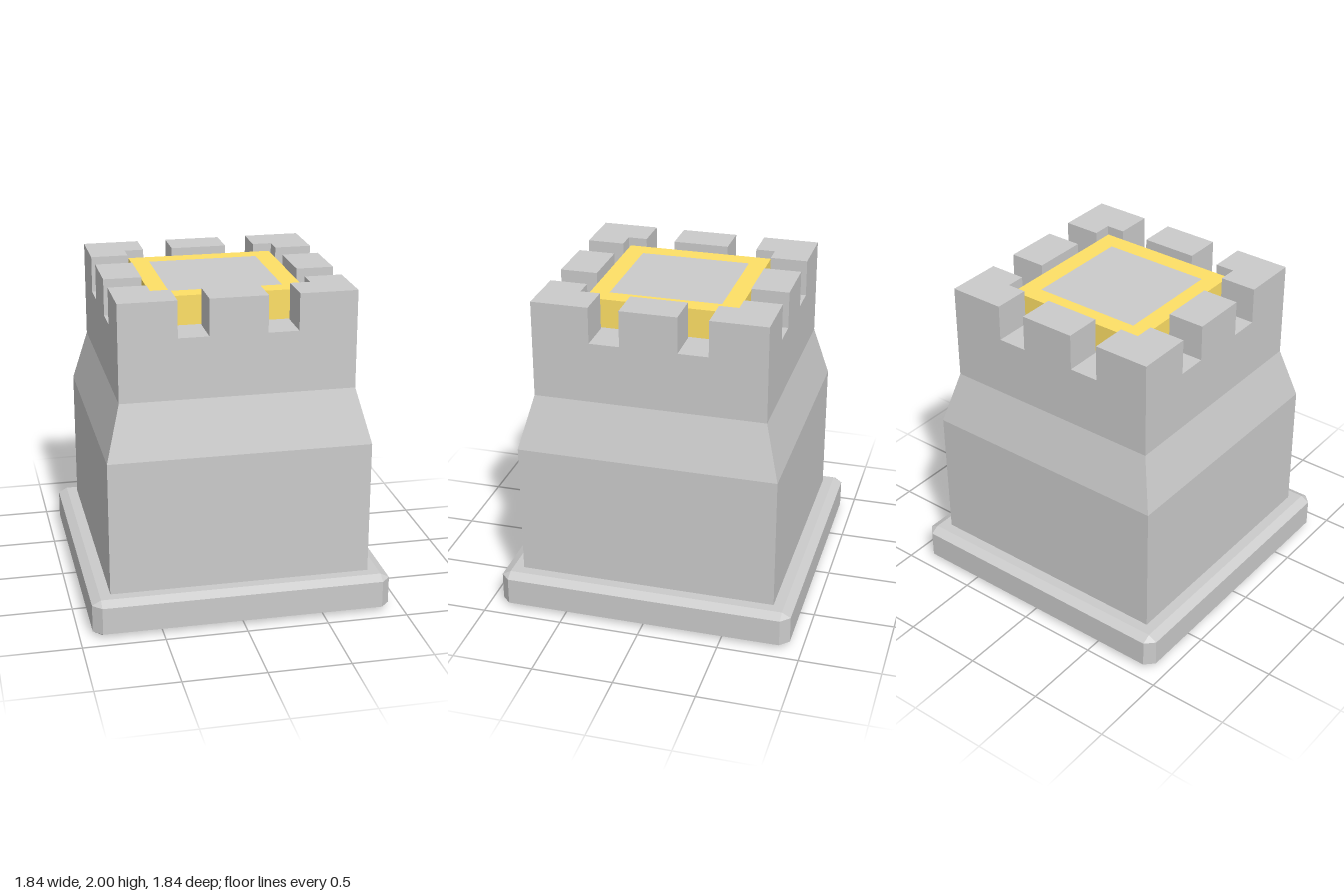
import * as THREE from 'three';
import { ConvexGeometry } from 'three/addons/geometries/ConvexGeometry.js';

const FLOOR = 1.775; // level of the battlement floor
const TOP = 2;
const ROOF = 1.955;

const paint = (color) => new THREE.MeshStandardMaterial({ color, flatShading: true });

function add(parent, name, geometry, material) {
  const mesh = new THREE.Mesh(geometry, material);
  mesh.name = name;
  parent.add(mesh);
  return mesh;
}

// Upright prism from a plan outline, standing between two heights
function prism(shape, y0, y1) {
  const g = new THREE.ExtrudeGeometry(shape, { depth: y1 - y0, bevelEnabled: false });
  return g.rotateX(-Math.PI / 2).translate(0, y0, 0);
}

const outline = (pts) => new THREE.Shape(pts.map(([x, y]) => new THREE.Vector2(x, y)));
const square = (h) => outline([[-h, -h], [h, -h], [h, h], [-h, h]]);

// Box with every edge cut once
function chamferedSlab(half, cut, height, cutY) {
  const inner = half - cut, pts = [];
  for (const sx of [-1, 1]) for (const sz of [-1, 1]) for (const top of [0, 1]) {
    const yEnd = top ? height : 0;
    const ySide = top ? height - cutY : cutY;
    pts.push(
      new THREE.Vector3(sx * inner, yEnd, sz * inner),
      new THREE.Vector3(sx * half, ySide, sz * inner),
      new THREE.Vector3(sx * inner, ySide, sz * half));
  }
  return new ConvexGeometry(pts);
}

export function createModel() {
  const tower = new THREE.Group();
  tower.name = 'tower';
  const stone = paint(0xcccccc);
  const gold = paint(0xffe066);
  const pale = paint(0xe3e3e3);

  // Plinth
  add(tower, 'base', chamferedSlab(0.92, 0.055, 0.23, 0.03), stone);

  // Square body with a tapered shoulder, closed by the battlement floor
  const profile = [[0.8, 0.2], [0.8, 1.065], [0.71, 1.4], [0.71, FLOOR], [0, FLOOR]]
    .map(([h, y]) => new THREE.Vector2(h * Math.SQRT2, y));
  add(tower, 'body', new THREE.LatheGeometry(profile, 4, Math.PI / 4), stone);

  // Battlements: an L-shaped block on each corner, a plain one on each side
  const corner = prism(outline([[0.36, 0.48], [0.48, 0.48], [0.48, 0.36],
    [0.71, 0.36], [0.71, 0.71], [0.36, 0.71]]), FLOOR, TOP);
  const middle = prism(outline([[-0.175, 0.48], [0.175, 0.48],
    [0.175, 0.71], [-0.175, 0.71]]), FLOOR, TOP);
  const battlements = new THREE.Group();
  battlements.name = 'battlements';
  tower.add(battlements);
  for (let i = 0; i < 4; i++) {
    add(battlements, 'cornerMerlon', corner, stone).rotation.y = i * Math.PI / 2;
    add(battlements, 'sideMerlon', middle, stone).rotation.y = i * Math.PI / 2;
  }

  // Gold roof block with a flush pale panel
  const frame = square(0.46);
  frame.holes.push(square(0.345));
  add(tower, 'roofFrame', prism(frame, FLOOR, ROOF), gold);
  add(tower, 'roofPanel', prism(square(0.345), FLOOR, ROOF), pale);

  return tower;
}
